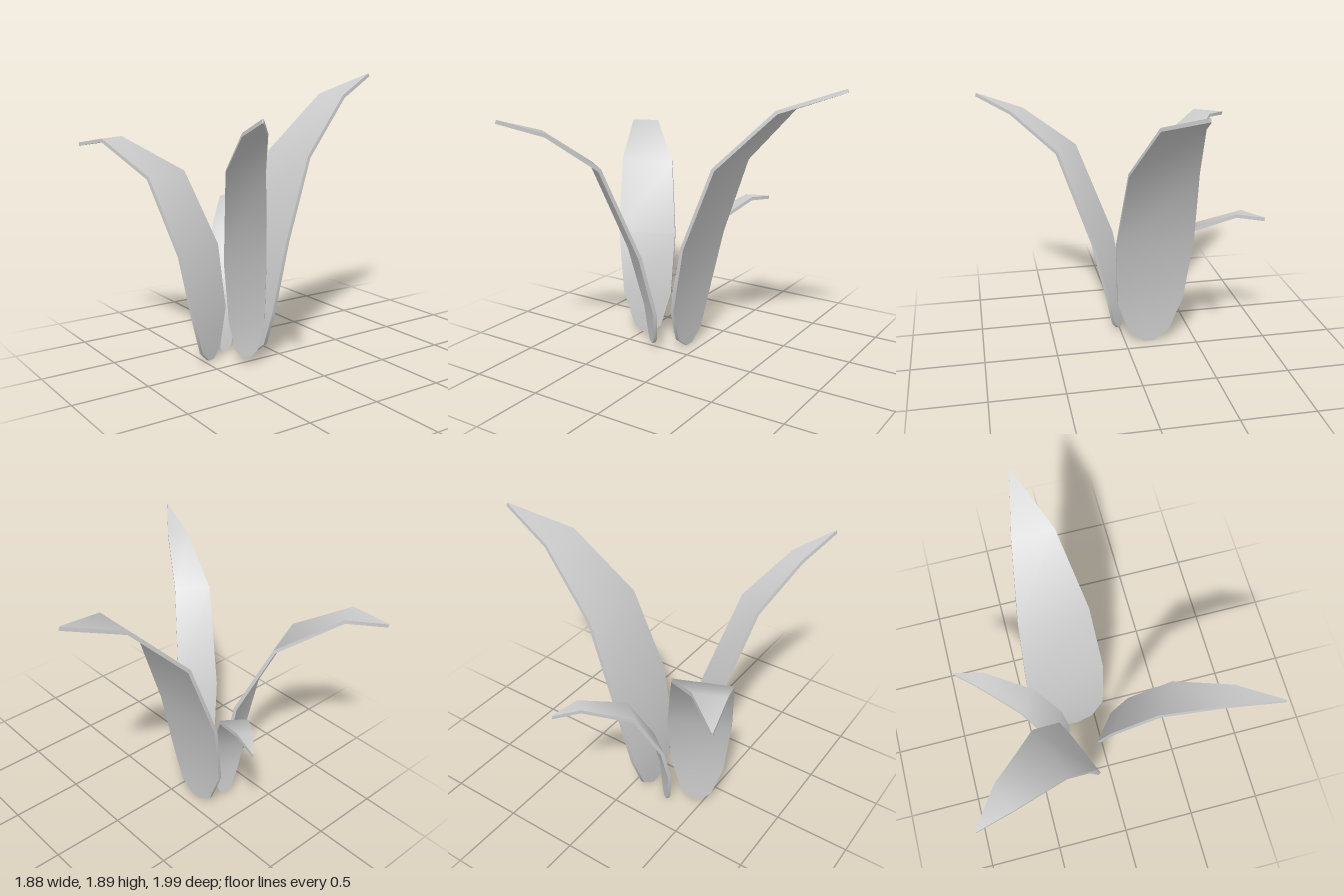
import * as THREE from 'three';
import { toCreasedNormals } from 'three/addons/utils/BufferGeometryUtils.js';

const HALF_THICKNESS = 0.012;

// Each leaf: horizontal direction of its width [x, z],
// and rows of [x, y, z, half width] from base to tip.
const LEAVES = {
  tallBackLeaf: {
    across: [1, 0],
    rows: [
      [-0.17, 0.005, 0.1, 0.035], [-0.17, 0.085, 0.098, 0.145], [-0.175, 0.33, 0.085, 0.235],
      [-0.185, 0.8, -0.01, 0.268], [-0.19, 1.355, -0.22, 0.23], [-0.205, 1.74, -0.605, 0.135],
      [-0.25, 1.88, -0.99, 0.003],
    ],
  },
  leftLeaf: {
    across: [0.62, -0.78],
    rows: [
      [0.015, 0.045, 0.28, 0.025], [0.018, 0.1, 0.28, 0.075], [0.033, 0.29, 0.285, 0.117],
      [0.12, 0.725, 0.35, 0.136], [0.345, 1.35, 0.488, 0.12], [0.665, 1.6, 0.635, 0.072],
      [0.935, 1.7, 0.767, 0.003],
    ],
  },
  frontRightLeaf: {
    across: [0.39, 0.92],
    rows: [
      [-0.168, 0.01, 0.45, 0.025], [-0.168, 0.08, 0.45, 0.1], [-0.17, 0.33, 0.452, 0.175],
      [-0.23, 0.76, 0.49, 0.206], [-0.42, 1.25, 0.615, 0.185], [-0.735, 1.475, 0.85, 0.097],
      [-0.94, 1.432, 0.995, 0.003],
    ],
  },
  smallRightLeaf: {
    across: [0.6, -0.8],
    rows: [
      [-0.27, 0.005, 0.27, 0.018], [-0.272, 0.05, 0.27, 0.045], [-0.28, 0.27, 0.265, 0.088],
      [-0.33, 0.52, 0.232, 0.105], [-0.475, 0.838, 0.125, 0.093], [-0.75, 0.988, -0.058, 0.05],
      [-0.905, 0.968, -0.143, 0.003],
    ],
  },
};

// Thin solid blade swept through the rows with a rectangular section
function bladeGeometry({ across, rows }) {
  const width = new THREE.Vector3(across[0], 0, across[1]).normalize();
  const centres = rows.map(([x, y, z]) => new THREE.Vector3(x, y, z));
  const positions = [];
  const index = [];
  const last = rows.length - 1;

  centres.forEach((centre, i) => {
    const before = centre.clone().sub(centres[Math.max(i - 1, 0)]).normalize();
    const after = centres[Math.min(i + 1, last)].clone().sub(centre).normalize();
    const normal = width.clone().cross(before.add(after)).normalize();
    for (const [side, face] of [[-1, 1], [1, 1], [1, -1], [-1, -1]]) {
      const corner = centre.clone()
        .addScaledVector(width, side * rows[i][3])
        .addScaledVector(normal, face * HALF_THICKNESS);
      positions.push(corner.x, corner.y, corner.z);
    }
    if (i === last) return;
    for (let k = 0; k < 4; k++) {
      const a = i * 4 + k;
      const b = i * 4 + (k + 1) % 4;
      index.push(a, b, b + 4, a, b + 4, a + 4);
    }
  });

  // End caps
  const t = last * 4;
  index.push(0, 3, 2, 0, 2, 1, t, t + 1, t + 2, t, t + 2, t + 3);

  const geometry = new THREE.BufferGeometry();
  geometry.setAttribute('position', new THREE.Float32BufferAttribute(positions, 3));
  geometry.setIndex(index);
  return toCreasedNormals(geometry, 0.85);
}

export function createModel() {
  const plant = new THREE.Group();
  plant.name = 'leafCluster';
  const material = new THREE.MeshStandardMaterial({ color: 0xcccccc });
  for (const [name, leaf] of Object.entries(LEAVES)) {
    const mesh = new THREE.Mesh(bladeGeometry(leaf), material);
    mesh.name = name;
    plant.add(mesh);
  }
  return plant;
}
